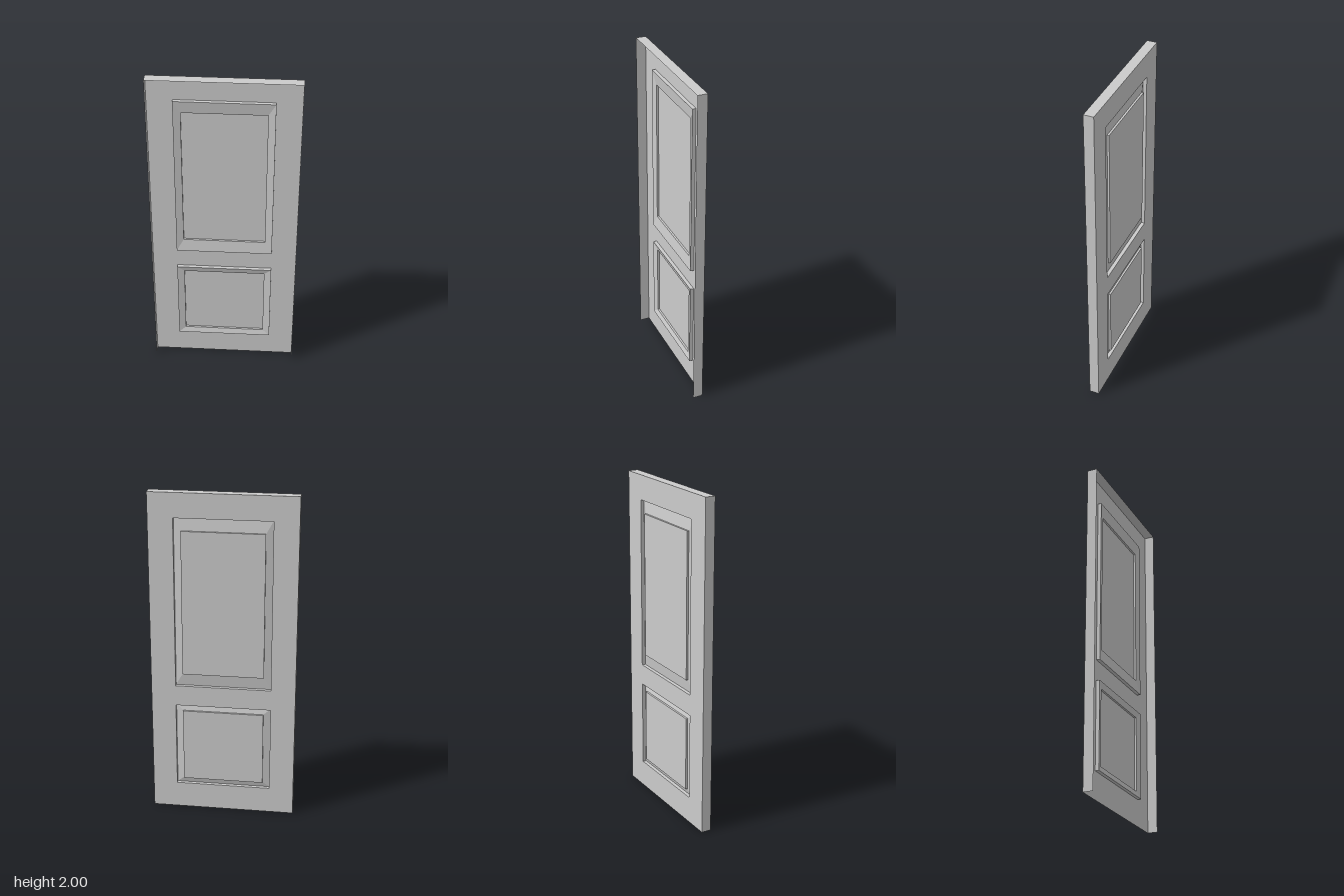
import * as THREE from 'three';

const W = 0.866, H = 2, D = 0.06;
const material = new THREE.MeshStandardMaterial({ color: 0xcccccc, side: THREE.DoubleSide });

// Corners of a rectangle [x0, y0, x1, y1], counter-clockwise
const corners = ([x0, y0, x1, y1]) => [[x0, y0], [x1, y0], [x1, y1], [x0, y1]];

const rectPath = (rect, Type) => new Type(corners(rect).map(([x, y]) => new THREE.Vector2(x, y)));

// Four flat faces joining a rectangle at depth za to one at depth zb
function ring(a, za, b, zb) {
  const ca = corners(a), cb = corners(b), pos = [];
  for (let i = 0; i < 4; i++) {
    const j = (i + 1) % 4;
    const p = [...ca[i], za], q = [...ca[j], za], r = [...cb[j], zb], s = [...cb[i], zb];
    pos.push(...p, ...q, ...r, ...p, ...r, ...s);
  }
  const geo = new THREE.BufferGeometry();
  geo.setAttribute('position', new THREE.Float32BufferAttribute(pos, 3));
  geo.computeVertexNormals();
  return geo;
}

function add(parent, name, geometry) {
  const mesh = new THREE.Mesh(geometry, material);
  mesh.name = name;
  parent.add(mesh);
  return mesh;
}

export function createModel() {
  const model = new THREE.Group();
  model.name = 'panelDoor';

  // The hollow door skin is built facing +z, then turned to face the back
  const skin = new THREE.Group();
  skin.name = 'doorSkin';
  skin.rotation.y = Math.PI;
  model.add(skin);

  const face = D / 2, groove = face - 0.022, shoulder = face - 0.012;
  const panels = [
    { name: 'upperPanel', outer: [-0.286, 0.82, 0.286, 1.853], inner: [-0.243, 0.898, 0.243, 1.777] },
    { name: 'lowerPanel', outer: [-0.286, 0.163, 0.286, 0.693], inner: [-0.243, 0.199, 0.243, 0.656] },
  ];

  // Flat frame sheet with an opening for each panel
  const sheet = rectPath([-W / 2, 0, W / 2, H], THREE.Shape);
  for (const p of panels) sheet.holes.push(rectPath(p.outer, THREE.Path));
  add(skin, 'frameSheet', new THREE.ShapeGeometry(sheet)).position.z = face;

  // Raised panels: groove wall, sloping bevel, small step, flat field
  for (const { name, outer, inner } of panels) {
    const panel = new THREE.Group();
    panel.name = name;
    skin.add(panel);
    add(panel, 'grooveWall', ring(outer, face, outer, groove));
    add(panel, 'bevel', ring(outer, groove, inner, shoulder));
    add(panel, 'fieldStep', ring(inner, shoulder, inner, face));
    add(panel, 'field', new THREE.ShapeGeometry(rectPath(inner, THREE.Shape))).position.z = face;
  }

  // Thin side and top edges; the bottom and the other face stay open
  for (const side of [-1, 1]) {
    const edge = add(skin, side < 0 ? 'leftEdge' : 'rightEdge', new THREE.PlaneGeometry(D, H));
    edge.rotation.y = side * Math.PI / 2;
    edge.position.set(side * W / 2, H / 2, 0);
  }
  const top = add(skin, 'topEdge', new THREE.PlaneGeometry(W, D));
  top.rotation.x = -Math.PI / 2;
  top.position.y = H;

  return model;
}
